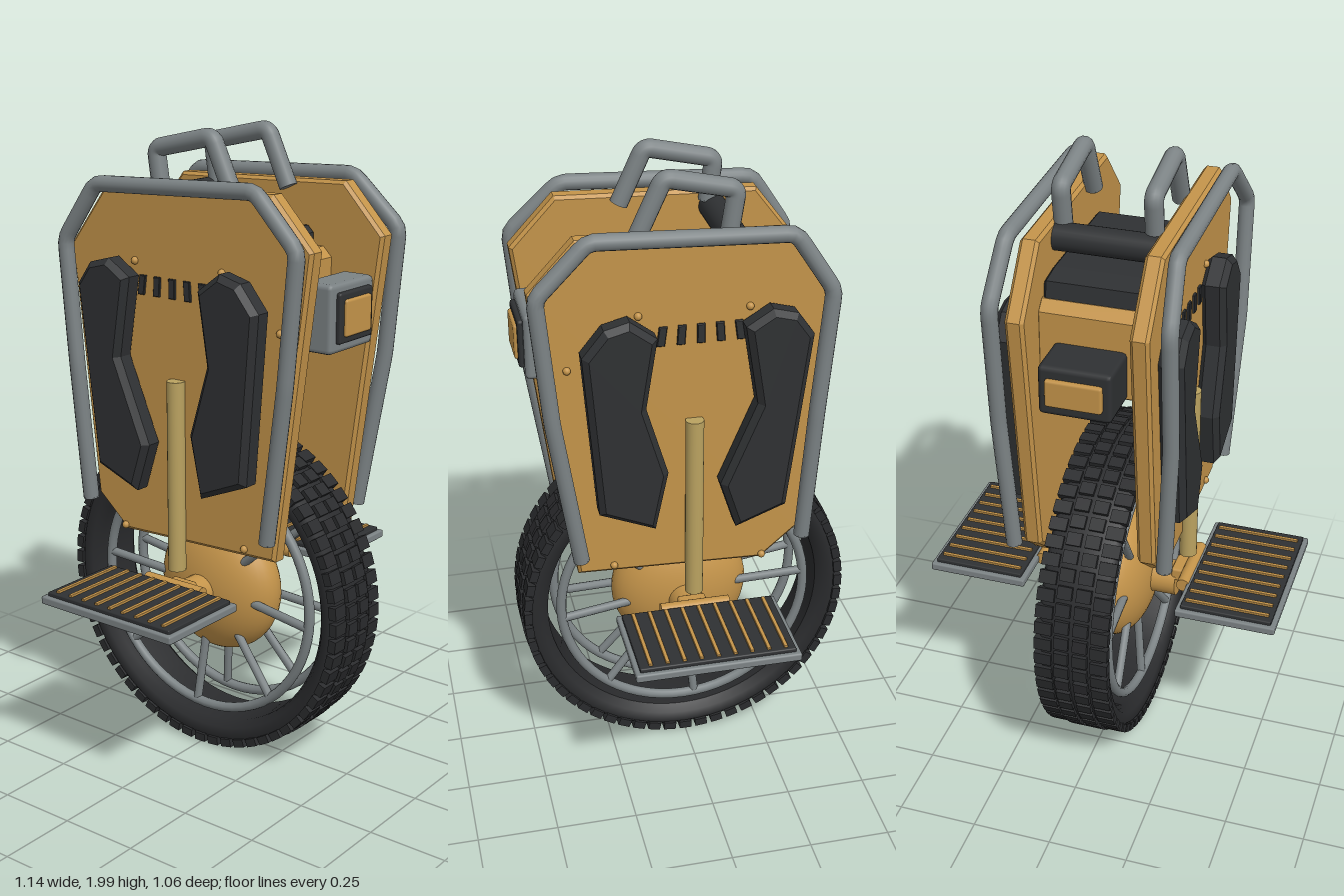
import * as THREE from 'three';
import { mergeGeometries } from 'three/addons/utils/BufferGeometryUtils.js';
import { RoundedBoxGeometry } from 'three/addons/geometries/RoundedBoxGeometry.js';

const mat = (color, flatShading = false) => new THREE.MeshStandardMaterial({ color, flatShading });
const GOLD = mat(0xc4944a), PALE = mat(0xbaa260), DARK = mat(0x2f3133), GREY = mat(0x7c8385);
const RUBBER = mat(0x2a2b2d, true);
const V = (x, y, z) => new THREE.Vector3(x, y, z);

export function createModel() {
  const model = new THREE.Group();
  model.name = 'electricUnicycle';

  const add = (name, geo, material, parent = model) => {
    const m = new THREE.Mesh(geo, material);
    m.name = name;
    parent.add(m);
    return m;
  };
  const box = (x0, x1, y0, y1, z0, z1, r = 0.008) =>
    new RoundedBoxGeometry(x1 - x0, y1 - y0, z1 - z0, 1, r)
      .translate((x0 + x1) / 2, (y0 + y1) / 2, (z0 + z1) / 2);
  // Plate with a [z, y] outline, spanning x0 to x1
  const slab = (pts, x0, x1, b) => {
    const shape = new THREE.Shape(pts.map(p => new THREE.Vector2(p[0], p[1])));
    const geo = new THREE.ExtrudeGeometry(shape, {
      depth: x1 - x0 - 2 * b, bevelThickness: b, bevelSize: b, bevelOffset: -b, bevelSegments: 1,
    });
    return geo.rotateY(-Math.PI / 2).translate(x1 - b, 0, 0);
  };
  // Straight cylinder between two points
  const rod = (a, b, r, seg = 12) => {
    const d = b.clone().sub(a);
    const q = new THREE.Quaternion().setFromUnitVectors(V(0, 1, 0), d.clone().normalize());
    const mid = a.clone().add(b).multiplyScalar(0.5);
    return new THREE.CylinderGeometry(r, r, d.length(), seg).applyQuaternion(q).translate(mid.x, mid.y, mid.z);
  };
  // Bent pipe with tight corners and closed ends
  const pipe = (pts, r, bend = 0.025) => {
    const path = new THREE.CurvePath();
    let from = pts[0];
    for (let i = 1; i < pts.length - 1; i++) {
      const p = pts[i];
      const a = p.clone().add(pts[i - 1].clone().sub(p).setLength(bend));
      const b = p.clone().add(pts[i + 1].clone().sub(p).setLength(bend));
      path.add(new THREE.LineCurve3(from, a));
      path.add(new THREE.QuadraticBezierCurve3(a, p, b));
      from = b;
    }
    path.add(new THREE.LineCurve3(from, pts[pts.length - 1]));
    const cap = (p, q) => rod(p, p.clone().add(q.clone().sub(p).setLength(0.004)), r, 14);
    const n = pts.length;
    return mergeGeometries([new THREE.TubeGeometry(path, 120, r, 14), cap(pts[0], pts[1]), cap(pts[n - 1], pts[n - 2])]);
  };

  // Wheel, built around the origin and lifted to its axle height
  const wheel = new THREE.Group();
  wheel.name = 'wheel';
  wheel.position.y = 0.53;
  model.add(wheel);

  const profile = [[0.445, -0.08], [0.445, 0.08], [0.465, 0.105], [0.495, 0.112], [0.514, 0.095], [0.519, 0],
    [0.514, -0.095], [0.495, -0.112], [0.465, -0.105], [0.445, -0.08]];
  const tyre = new THREE.LatheGeometry(profile.map(p => new THREE.Vector2(p[0], p[1])), 72).rotateZ(Math.PI / 2);
  add('tyre', tyre, new THREE.MeshStandardMaterial({ color: 0x2a2b2d, side: THREE.DoubleSide }), wheel);

  const blocks = [];
  const rows = 60;
  for (let i = 0; i < rows; i++) {
    for (const x of [-0.09, -0.03, 0.03, 0.09]) {
      const outer = Math.abs(x) > 0.05;
      const g = new THREE.BoxGeometry(outer ? 0.055 : 0.046, 0.026, 0.04);
      g.translate(x, outer ? 0.512 : 0.517, 0);
      g.rotateX(((i + (outer ? 0 : 0.3)) / rows) * Math.PI * 2);
      blocks.push(g);
    }
  }
  add('tread', mergeGeometries(blocks), RUBBER, wheel);

  // Rim rings and spokes on both faces of the wheel
  for (const s of [-1, 1]) {
    add('rimRing', new THREE.TorusGeometry(0.402, 0.016, 10, 64).rotateY(Math.PI / 2).translate(s * 0.08, 0, 0), GREY, wheel);
    for (let i = 0; i < 8; i++) {
      const a = (i / 8) * Math.PI * 2 + 0.09;
      const at = (r, x) => V(s * x, Math.sin(a) * r, -Math.cos(a) * r);
      add('spoke', rod(at(0.17, 0.06), at(0.4, 0.08), 0.014, 10), GREY, wheel);
    }
  }
  add('hub', new THREE.SphereGeometry(0.223, 40, 24).scale(0.54, 1, 1), GOLD, wheel);
  add('axle', rod(V(-0.195, 0, 0), V(0.195, 0, 0), 0.057, 24), GOLD, wheel);

  // Central body between the side panels
  add('body', slab([[-0.3, 1.6], [-0.27, 1.63], [0.27, 1.63], [0.3, 1.6], [0.3, 1.36], [0.27, 1.34], [-0.27, 1.34], [-0.3, 1.36]],
    -0.16, 0.16, 0.008), GOLD);
  add('seatPad', slab([[-0.27, 1.62], [-0.26, 1.68], [-0.18, 1.69], [0.22, 1.69], [0.24, 1.67], [0.24, 1.62]],
    -0.15, 0.15, 0.008), DARK);
  add('crossRoll', rod(V(-0.155, 1.765, -0.14), V(0.155, 1.765, -0.14), 0.042, 24), DARK);

  // Lamps
  add('headlightNeck', box(-0.08, 0.08, 1.4, 1.55, 0.28, 0.39), DARK);
  add('headlightFrame', box(-0.112, 0.112, 1.37, 1.575, 0.37, 0.48, 0.015), GREY);
  add('headlightBezel', box(-0.085, 0.085, 1.4, 1.55, 0.46, 0.495), DARK);
  add('headlightLens', box(-0.066, 0.066, 1.42, 1.53, 0.48, 0.505), GOLD);
  add('tailLightBox', box(-0.11, 0.11, 1.355, 1.51, -0.445, -0.28, 0.015), DARK);
  add('tailLightLens', box(-0.085, 0.085, 1.39, 1.475, -0.46, -0.43), GOLD);

  // Everything that repeats on the left and right
  const panel = [[0.48, 1.68], [0.34, 1.83], [-0.28, 1.81], [-0.425, 1.62], [-0.335, 0.82], [-0.22, 0.72], [0.36, 0.74]];
  const frontPad = [[0.2, 1.6], [0.12, 1.54], [0.155, 1.32], [0.09, 1.1], [0.13, 0.91], [0.3, 0.98], [0.34, 1.5], [0.275, 1.58]];
  const rearPad = [[-0.22, 1.6], [-0.14, 1.55], [-0.18, 1.3], [-0.07, 1.04], [-0.12, 0.885], [-0.275, 0.945], [-0.345, 1.51], [-0.295, 1.58]];
  for (const s of [-1, 1]) {
    const side = new THREE.Group();
    side.name = s > 0 ? 'leftSide' : 'rightSide';
    model.add(side);
    const put = (name, geo, m) => add(name, geo, m, side);
    const span = (a, b) => (s > 0 ? [a, b] : [-b, -a]);

    put('sidePanel', slab(panel, ...span(0.153, 0.21), 0.01), GOLD);
    put('frontPad', slab(frontPad, ...span(0.205, 0.285), 0.018), DARK);
    put('rearPad', slab(rearPad, ...span(0.205, 0.285), 0.018), DARK);
    for (let i = 0; i < 5; i++) {
      const z = 0.1 - i * 0.06;
      const t = (i - 2) * 0.004;
      put('ventSlot', slab([[z - 0.012, 1.49], [z + 0.012, 1.49], [z + 0.012 + t, 1.55], [z - 0.012 + t, 1.55]],
        ...span(0.2, 0.218), 0.002), DARK);
    }
    put('sidePost', rod(V(s * 0.224, 0.64, 0), V(s * 0.224, 1.245, 0), 0.028, 20), PALE);

    // Guard pipe around the panel and carrying handle above it
    put('guardPipe', pipe([[0.24, 0.81, 0.355], [0.262, 1.3, 0.43], [0.262, 1.69, 0.465], [0.248, 1.84, 0.31],
      [0.248, 1.815, -0.285], [0.262, 1.64, -0.4], [0.262, 1.25, -0.365], [0.24, 0.81, -0.34]]
      .map(p => V(s * p[0], p[1], p[2])), 0.025), GREY);
    put('carryHandle', pipe([[1.8, 0.15], [1.967, 0.072], [1.92, -0.14], [1.79, -0.12]]
      .map(p => V(s * 0.136, p[0], p[1])), 0.028), GREY);

    // Footrest with grip strips
    put('pedalPlate', box(...span(0.25, 0.57), 0.572, 0.598, -0.255, 0.255, 0.006), GREY);
    put('pedalMat', box(...span(0.265, 0.555), 0.59, 0.61, -0.24, 0.24, 0.004), DARK);
    for (let i = 0; i < 9; i++) {
      const z = -0.21 + i * 0.052;
      put('gripStrip', box(...span(0.275, 0.543), 0.604, 0.617, z - 0.006, z + 0.006, 0.002), GOLD);
    }
    put('pedalHinge', rod(V(s * 0.238, 0.587, -0.11), V(s * 0.238, 0.587, 0.11), 0.022, 16), GOLD);
    put('pedalBracket', box(...span(0.18, 0.25), 0.55, 0.595, -0.045, 0.045), GOLD);

    for (const [y, z] of [[1.59, 0.165], [1.59, -0.165], [1.44, 0.375], [0.735, -0.22], [0.76, 0.25]]) {
      put('bolt', new THREE.SphereGeometry(0.012, 10, 8).translate(s * 0.212, y, z), GOLD);
    }
  }
  return model;
}
